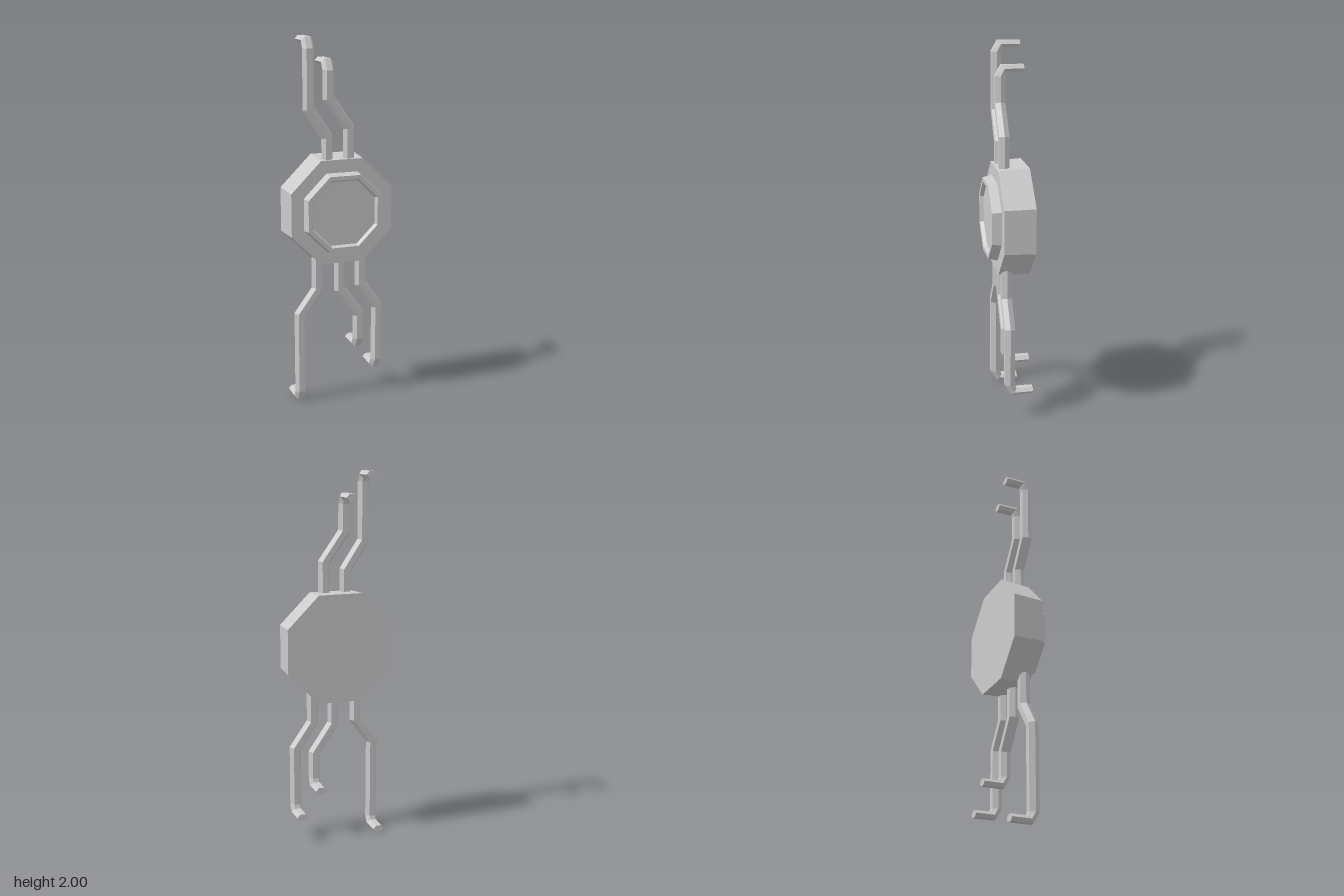
import * as THREE from 'three';

const material = new THREE.MeshStandardMaterial({ color: 0xcccccc, flatShading: true });
const BODY_Y = 1.076, BACK_Z = -0.11, PIPE_Z = 0.0157, R = 0.032;

// Eight-sided turned part facing +z; the profile lists [distance to flat, z]
function octagon(name, profile) {
  const points = profile.map(([a, z]) => new THREE.Vector2(a / Math.cos(Math.PI / 8), z));
  const geometry = new THREE.LatheGeometry(points, 8, Math.PI / 8);
  geometry.rotateX(Math.PI / 2);
  const mesh = new THREE.Mesh(geometry, material);
  mesh.name = name;
  mesh.position.y = BODY_Y;
  return mesh;
}

// Six-sided skin through rings of { c: centre, u, v: half axes }, with flat caps
function hexSkin(rings) {
  const positions = [], index = [], n = 6;
  for (const { c, u, v } of rings) {
    for (let k = 0; k < n; k++) {
      const a = (k / n) * Math.PI * 2;
      for (let i = 0; i < 3; i++) positions.push(c[i] + u[i] * Math.cos(a) + v[i] * Math.sin(a));
    }
  }
  for (let r = 0; r < rings.length - 1; r++) {
    for (let k = 0; k < n; k++) {
      const a = r * n + k, b = r * n + (k + 1) % n;
      index.push(a, b, b + n, a, b + n, a + n);
    }
  }
  const last = (rings.length - 1) * n;
  for (let k = 1; k < n - 1; k++) {
    index.push(0, k + 1, k);
    index.push(last, last + k, last + k + 1);
  }
  const geometry = new THREE.BufferGeometry();
  geometry.setAttribute('position', new THREE.Float32BufferAttribute(positions, 3));
  geometry.setIndex(index);
  const flat = geometry.toNonIndexed();
  flat.computeVertexNormals();
  return flat;
}

// Pipe leaving the body (s = 1 up, -1 down), kinking sideways, then turning back to the wall
function pipe(name, s, x0, y0, x1, y1, tip) {
  const slant = new THREE.Vector2(x1 - x0, y1 - y0).normalize();
  const mitre = -slant.x / (slant.y + s);
  const v = [0, 0, -s * R];
  const endY = tip - s * 0.0185;
  const endV = [0, -0.0213, -s * 0.017];
  const geometry = hexSkin([
    { c: [x0, BODY_Y + s * 0.25, PIPE_Z], u: [R, 0, 0], v },
    { c: [x0, y0, PIPE_Z], u: [R, R * mitre, 0], v },
    { c: [x1, y1, PIPE_Z], u: [R, R * mitre, 0], v },
    { c: [x1, tip - s * 0.058, PIPE_Z], u: [R, 0, 0], v },
    { c: [x1, endY, -0.005], u: [R, 0, 0], v: endV },
    { c: [x1, endY, BACK_Z], u: [R, 0, 0], v: [0, -0.0213, 0] },
  ]);
  const mesh = new THREE.Mesh(geometry, material);
  mesh.name = name;
  return mesh;
}

export function createModel() {
  const group = new THREE.Group();
  group.name = 'wallBoxWithPipes';

  // Tapered housing and the raised rim with its sunken face
  group.add(octagon('housing', [[0, BACK_Z], [0.293, BACK_Z], [0.284, 0.057], [0, 0.057]]));
  group.add(octagon('rimAndFace', [
    [0.215, 0.055], [0.205, 0.107], [0.184, 0.107], [0.174, 0.087], [0, 0.087],
  ]));

  // Two pipes above, three below
  group.add(pipe('upperRightPipe', 1, -0.071, 1.479, -0.172, 1.632, 2.0));
  group.add(pipe('upperLeftPipe', 1, 0.05, 1.524, -0.063, 1.683, 1.886));
  group.add(pipe('lowerRightPipe', -1, -0.13, 0.645, -0.23, 0.508, 0.0));
  group.add(pipe('lowerMiddlePipe', -1, 0, 0.63, 0.11, 0.471, 0.27));
  group.add(pipe('lowerLeftPipe', -1, 0.119, 0.65, 0.219, 0.508, 0.13));
  return group;
}
